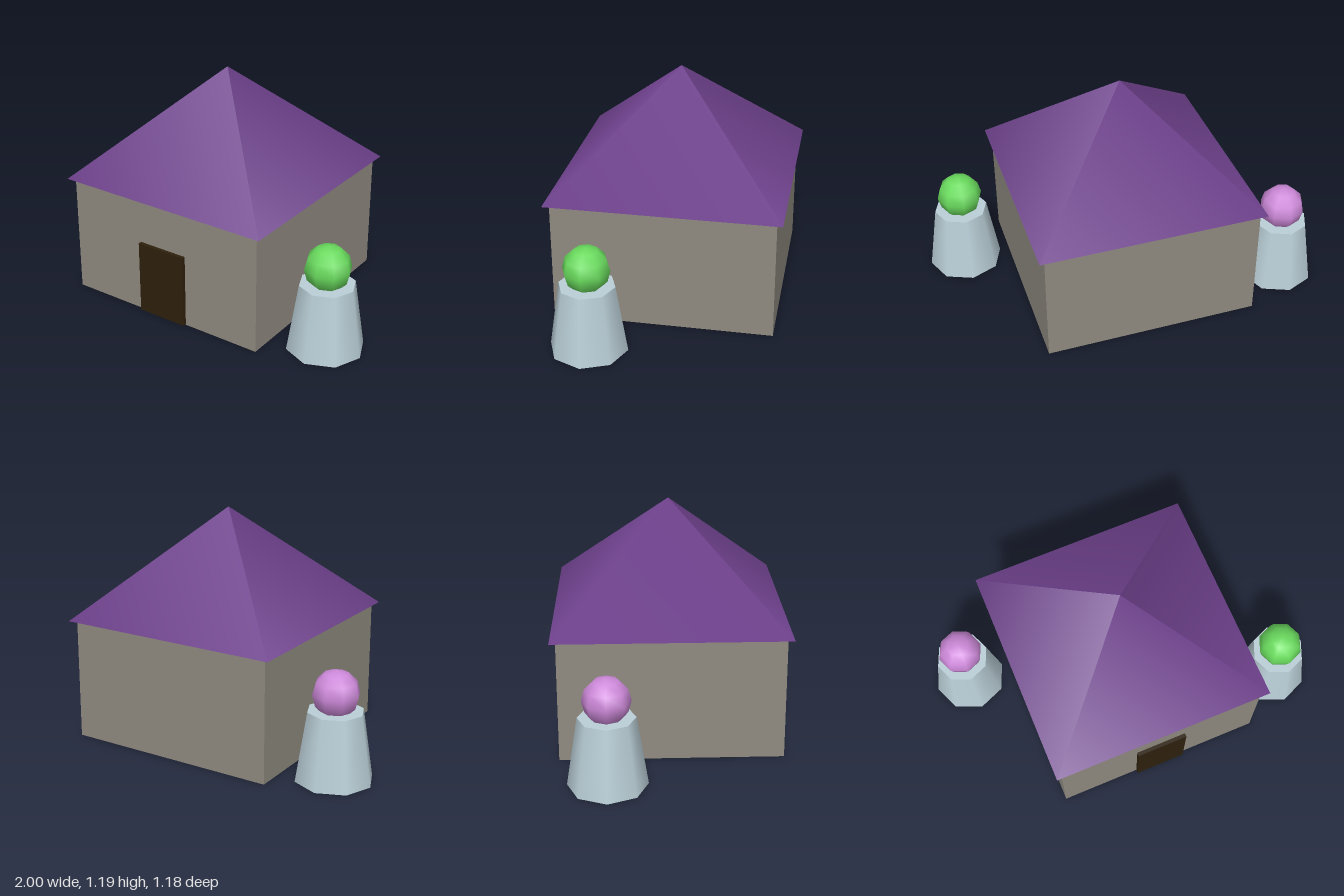
import * as THREE from 'three';

const material = (name, color) => {
  const m = new THREE.MeshStandardMaterial({ color });
  m.name = name;
  return m;
};

const stone = material('warm grey wall', 0x8f8a80);
const purple = material('purple roof', 0x6d408b);
const darkWood = material('dark brown door', 0x2e200c);
const paleBlue = material('pale blue pedestal', 0xbacfd7);
const green = material('green orb', 0x69da5d);
const pink = material('pink orb', 0xcd89d9);

function addPart(parent, name, geometry, mat, x, y, z) {
  const mesh = new THREE.Mesh(geometry, mat);
  mesh.name = name;
  mesh.position.set(x, y, z);
  parent.add(mesh);
  return mesh;
}

// Tapered octagonal pedestal with a half-sunk orb on top
function createOrnament(name, orbMaterial, x, z) {
  const group = new THREE.Group();
  group.name = name;
  group.position.set(x, 0, z);
  addPart(group, 'pedestal', new THREE.CylinderGeometry(0.14, 0.195, 0.35, 8), paleBlue, 0, 0.175, 0);
  addPart(group, 'orb', new THREE.SphereGeometry(0.118, 8, 6), orbMaterial, 0, 0.435, 0);
  return group;
}

export function createModel() {
  const model = new THREE.Group();
  model.name = 'house';

  // Square walls and the door slab standing proud of the front
  addPart(model, 'walls', new THREE.BoxGeometry(1.12, 0.63, 1.12), stone, 0, 0.315, 0);
  addPart(model, 'door', new THREE.BoxGeometry(0.274, 0.386, 0.04), darkWood, 0, 0.197, 0.56);

  // Four-sided pyramid roof with small eaves
  const roofGeometry = new THREE.ConeGeometry(0.59 * Math.SQRT2, 0.56, 4);
  addPart(model, 'roof', roofGeometry, purple, 0, 0.91, 0).rotation.y = Math.PI / 4;

  // Ornaments at diagonally opposite corners
  model.add(createOrnament('leftOrnament', green, 0.805, 0.315));
  model.add(createOrnament('rightOrnament', pink, -0.805, -0.315));

  return model;
}
